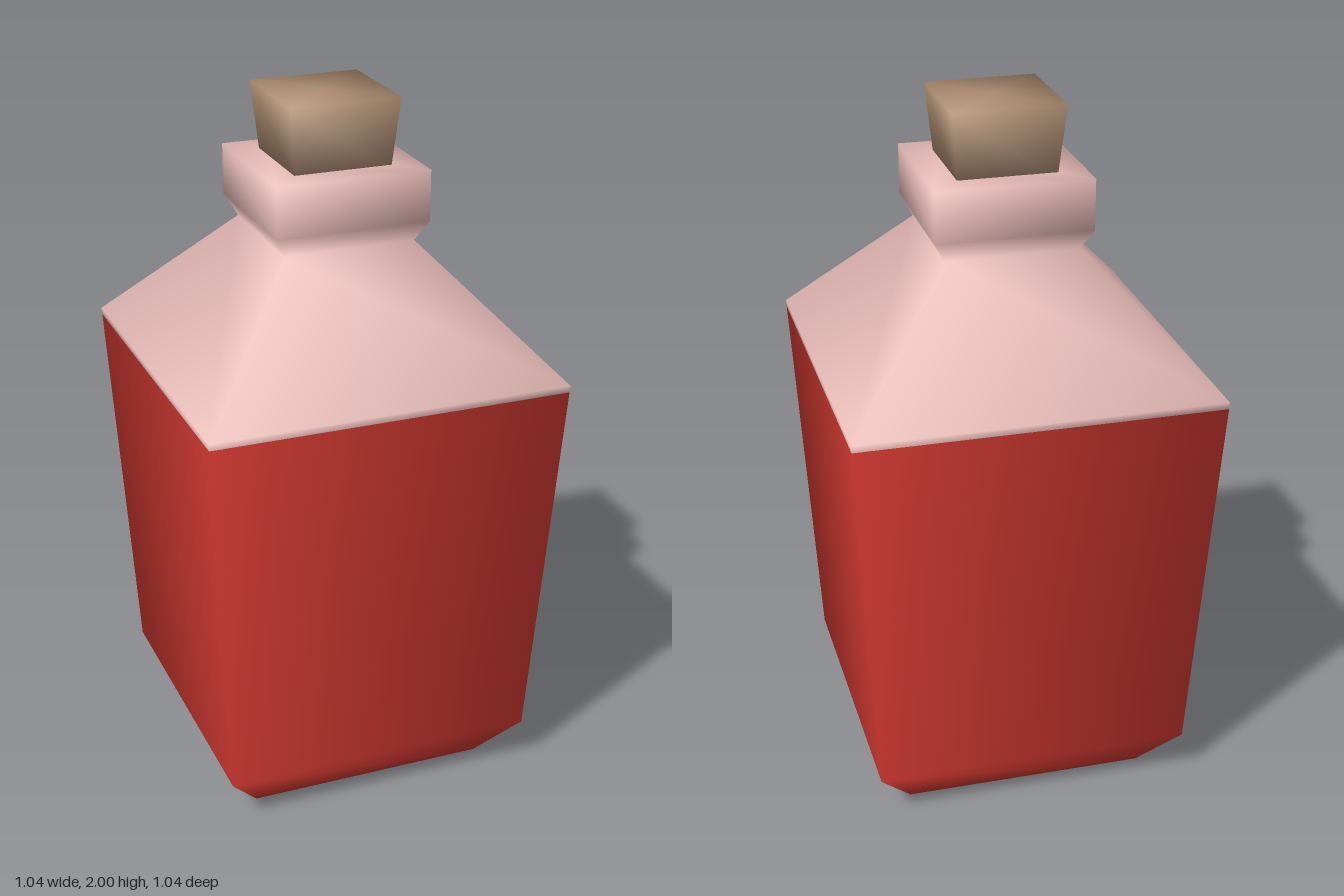
import * as THREE from 'three';

// Square-section turned part: profile holds [half-width, height] from bottom to top
function squareLathe(name, profile, material) {
  const points = profile.map(([w, y]) => new THREE.Vector2(w * Math.SQRT2, y));
  const mesh = new THREE.Mesh(new THREE.LatheGeometry(points, 4, Math.PI / 4), material);
  mesh.name = name;
  return mesh;
}

function flat(name, color) {
  const material = new THREE.MeshStandardMaterial({ color });
  material.name = name;
  return material;
}

export function createModel() {
  const group = new THREE.Group();
  group.name = 'corkedBottle';
  const red = flat('red liquid', 0xd63a32);
  const pink = flat('pale pink glass', 0xe3b8b4);
  const brown = flat('cork brown', 0xaa8a6e);

  // Filled lower body with a bevelled foot
  group.add(squareLathe('filledBody', [
    [0, 0], [0.35, 0], [0.455, 0.14], [0.518, 1.23],
  ], red));

  // Shoulder, pinched neck and flat-topped lip
  group.add(squareLathe('shoulderAndNeck', [
    [0.518, 1.23], [0.519, 1.25], [0.19, 1.605], [0.222, 1.665],
    [0.222, 1.81], [0.12, 1.81],
  ], pink));

  // Tapered stopper, seated in the neck
  group.add(squareLathe('cork', [
    [0, 1.79], [0.139, 1.79], [0.159, 2], [0, 2],
  ], brown));

  return group;
}
